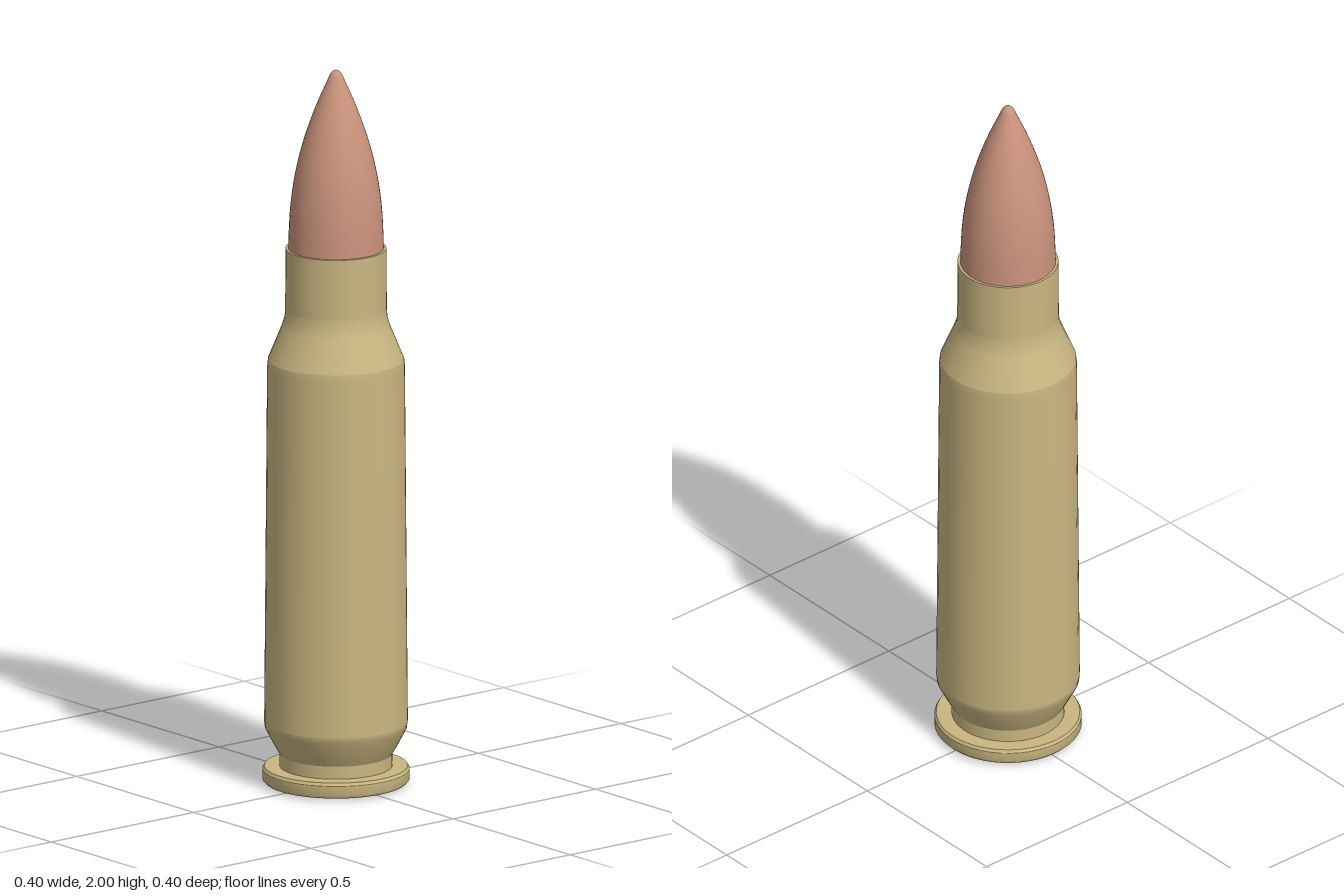
import * as THREE from 'three';
import { mergeGeometries } from 'three/addons/utils/BufferGeometryUtils.js';

const SIDES = 48;

// Revolves each strip separately, so edges between strips stay sharp
function turned(name, material, strips) {
  const parts = strips.map((strip) =>
    new THREE.LatheGeometry(strip.map(([r, y]) => new THREE.Vector2(r, y)), SIDES));
  const mesh = new THREE.Mesh(mergeGeometries(parts), material);
  mesh.name = name;
  return mesh;
}

export function createModel() {
  const brass = new THREE.MeshStandardMaterial({ name: 'brass', color: 0xc9b681 });
  const copper = new THREE.MeshStandardMaterial({ name: 'copper', color: 0xcb937d });
  const group = new THREE.Group();
  group.name = 'cartridge';

  // Flanged base with a ring groove around the primer
  group.add(turned('rim', brass, [
    [[0.09, 0.006], [0.192, 0.006]],
    [[0.192, 0.006], [0.2, 0.014], [0.2, 0.042]],
    [[0.2, 0.042], [0.195, 0.05]],
    [[0.195, 0.05], [0.15, 0.05]],
    [[0.078, 0.018], [0.09, 0.006]],
  ]));

  // Primer cap in the centre of the base
  group.add(turned('primer', brass, [
    [[0, 0], [0.07, 0]],
    [[0.07, 0], [0.078, 0.006], [0.078, 0.018]],
  ]));

  // Extractor groove, tapered body, shoulder and neck
  group.add(turned('casing', brass, [
    [[0.153, 0.05], [0.153, 0.085]],
    [[0.153, 0.085], [0.165, 0.105], [0.193, 0.158], [0.195, 0.175]],
    [[0.195, 0.175], [0.187, 1.17], [0.185, 1.19]],
    [[0.185, 1.19], [0.148, 1.28], [0.14, 1.305], [0.138, 1.33]],
    [[0.138, 1.33], [0.137, 1.5]],
    [[0.137, 1.5], [0.127, 1.5]],
  ]));

  // Pointed bullet with a small rounded tip
  const ogive = new THREE.SplineCurve([
    [0.13, 1.47], [0.129, 1.53], [0.124, 1.62], [0.111, 1.71], [0.089, 1.8],
    [0.058, 1.89], [0.028, 1.96], [0.014, 1.99], [0, 2],
  ].map(([r, y]) => new THREE.Vector2(r, y)));
  const profile = ogive.getPoints(32).map((p) => [Math.max(p.x, 0), Math.min(p.y, 2)]);
  group.add(turned('bullet', copper, [profile]));

  return group;
}
